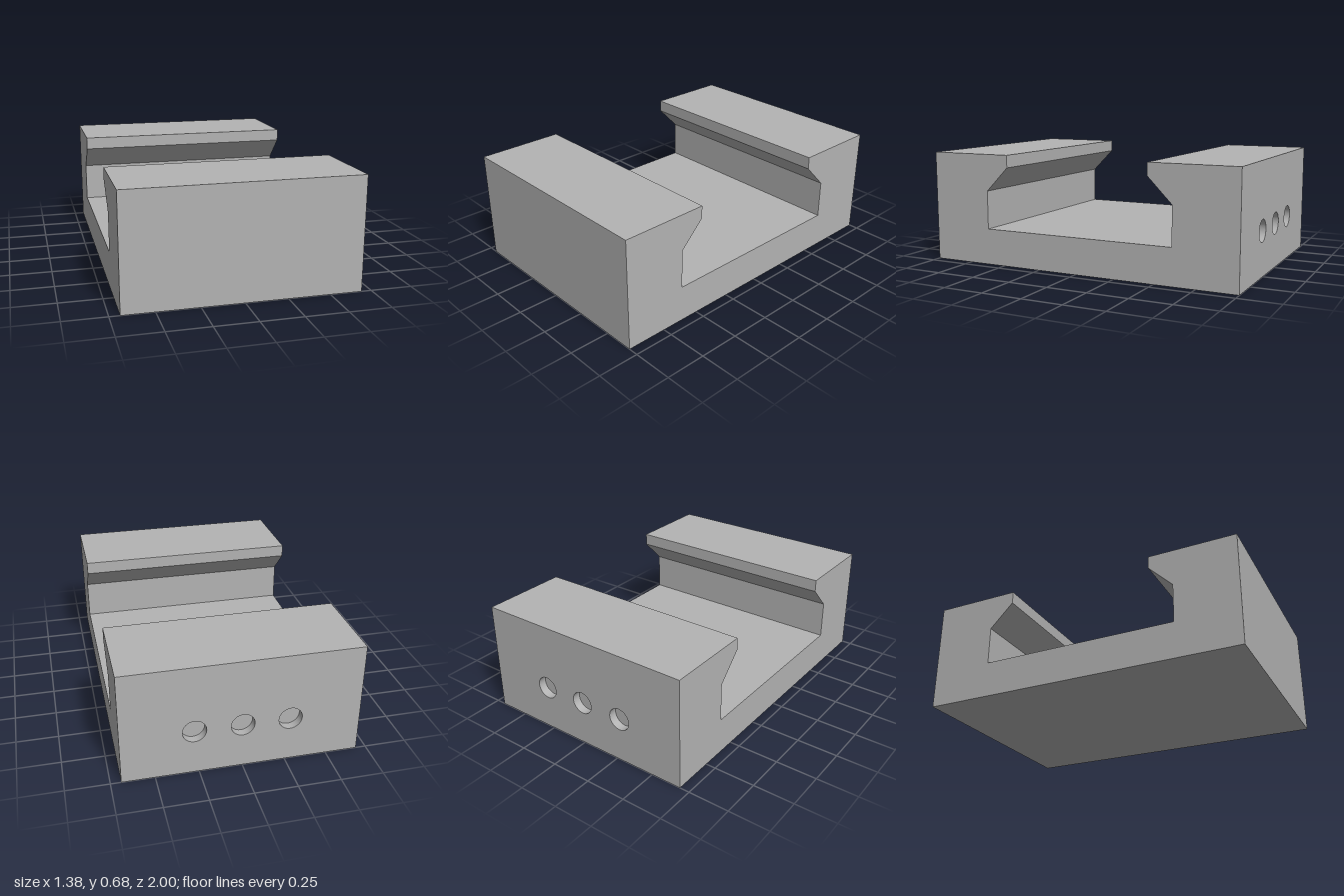
import * as THREE from 'three';

const HALF_W = 0.69, HEIGHT = 0.683, HOLE_DEPTH = 0.05;

export function createModel() {
  const group = new THREE.Group();
  group.name = 'dovetailClamp';
  const grey = new THREE.MeshStandardMaterial({ color: 0xb3b3b3 });
  grey.name = 'machinedGrey';

  // Slotted body: side profile (z, y) swept along x
  const backZ = -1 + HOLE_DEPTH;
  const profile = new THREE.Shape([
    [backZ, 0], [1, 0], [1, HEIGHT],
    [0.463, HEIGHT], [0.463, 0.607], [0.611, 0.458], [0.611, 0.222],
    [-0.611, 0.222], [-0.611, 0.458], [-0.463, 0.607], [-0.463, HEIGHT],
    [backZ, HEIGHT],
  ].map(([z, y]) => new THREE.Vector2(z, y)));
  const bodyGeo = new THREE.ExtrudeGeometry(profile, { depth: HALF_W * 2, bevelEnabled: false });
  bodyGeo.rotateY(-Math.PI / 2).translate(HALF_W, 0, 0);
  const body = new THREE.Mesh(bodyGeo, grey);
  body.name = 'slottedBody';
  group.add(body);

  // Back layer pierced by three holes, which end blind against the body
  const face = new THREE.Shape([
    new THREE.Vector2(-HALF_W, 0), new THREE.Vector2(HALF_W, 0),
    new THREE.Vector2(HALF_W, HEIGHT), new THREE.Vector2(-HALF_W, HEIGHT),
  ]);
  for (const x of [-0.275, 0, 0.275]) {
    face.holes.push(new THREE.Path().absarc(x, 0.275, 0.068, 0, Math.PI * 2, true));
  }
  const backGeo = new THREE.ExtrudeGeometry(face, {
    depth: HOLE_DEPTH, bevelEnabled: false, curveSegments: 40,
  });
  backGeo.translate(0, 0, -1);
  const back = new THREE.Mesh(backGeo, grey);
  back.name = 'drilledBackFace';
  group.add(back);

  return group;
}
